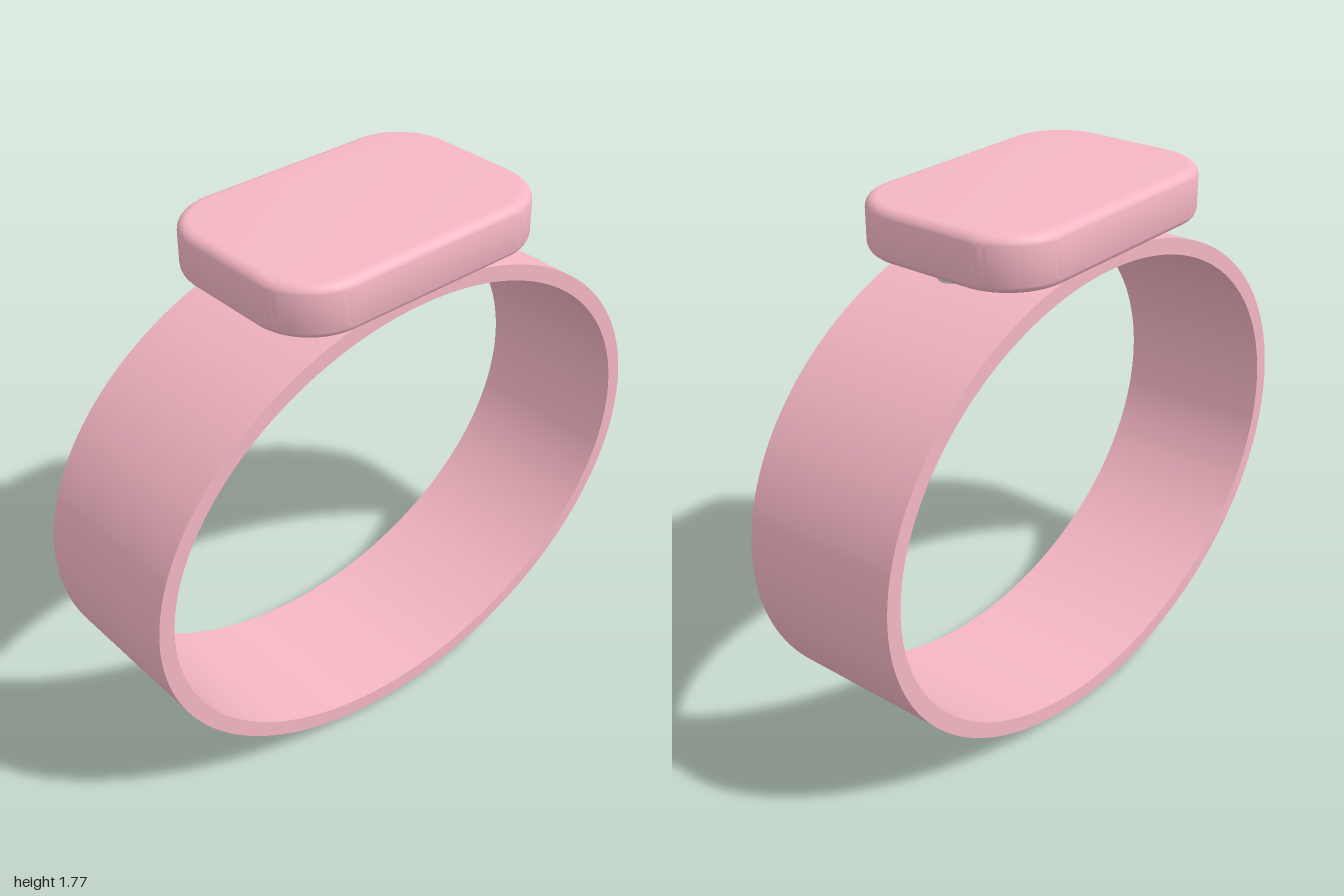
import * as THREE from 'three';
import { toCreasedNormals } from 'three/addons/utils/BufferGeometryUtils.js';

export function createModel() {
  const model = new THREE.Group();
  const pink = new THREE.MeshStandardMaterial({ color: 0xf4b6c2 });
  const grey = new THREE.MeshStandardMaterial({ color: 0xcccccc });

  function add(name, geometry, material, x = 0, y = 0, z = 0) {
    const mesh = new THREE.Mesh(geometry, material);
    mesh.name = name;
    mesh.position.set(x, y, z);
    model.add(mesh);
    return mesh;
  }

  // Band: an elliptical ring extruded along z
  const ring = new THREE.Shape().absellipse(0, 0, 1, 0.797, 0, Math.PI * 2);
  ring.holes.push(new THREE.Path().absellipse(0, 0, 0.947, 0.744, 0, Math.PI * 2, true));
  const bandGeometry = new THREE.ExtrudeGeometry(ring, {
    depth: 0.55, bevelEnabled: false, curveSegments: 96,
  });
  bandGeometry.translate(0, 0, -0.275);
  add('band', toCreasedNormals(bandGeometry, 0.6), pink, 0, 0.797, 0);

  // Case: a rounded rectangle with softened top and bottom edges
  const bevel = 0.035, w = 0.505 - bevel, d = 0.343 - bevel, r = 0.2 - bevel;
  const outline = new THREE.Shape();
  outline.absarc(w - r, d - r, r, 0, Math.PI / 2);
  outline.absarc(r - w, d - r, r, Math.PI / 2, Math.PI);
  outline.absarc(r - w, r - d, r, Math.PI, Math.PI * 1.5);
  outline.absarc(w - r, r - d, r, Math.PI * 1.5, Math.PI * 2);
  const caseGeometry = new THREE.ExtrudeGeometry(outline, {
    depth: 0.17 - 2 * bevel, bevelThickness: bevel, bevelSize: bevel,
    bevelSegments: 6, curveSegments: 16,
  });
  caseGeometry.rotateX(-Math.PI / 2);
  add('case', toCreasedNormals(caseGeometry, 0.6), pink, 0, 1.605 + bevel, 0);

  // Sensor: a shallow dome under the case
  const domeProfile = [];
  for (let i = 0; i <= 10; i++) {
    const t = i / 10;
    domeProfile.push(new THREE.Vector2(0.155 * t, -0.022 * (1 - t * t)));
  }
  domeProfile.push(new THREE.Vector2(0.155, 0.015));
  add('sensorDome', toCreasedNormals(new THREE.LatheGeometry(domeProfile, 48), 0.6), pink, 0, 1.604, 0);

  // Contact pins under both ends of the case
  for (const side of [-1, 1]) {
    add(side > 0 ? 'leftPin' : 'rightPin',
      new THREE.CylinderGeometry(0.046, 0.046, 0.05, 32), grey, side * 0.385, 1.595, 0);
  }

  return model;
}
